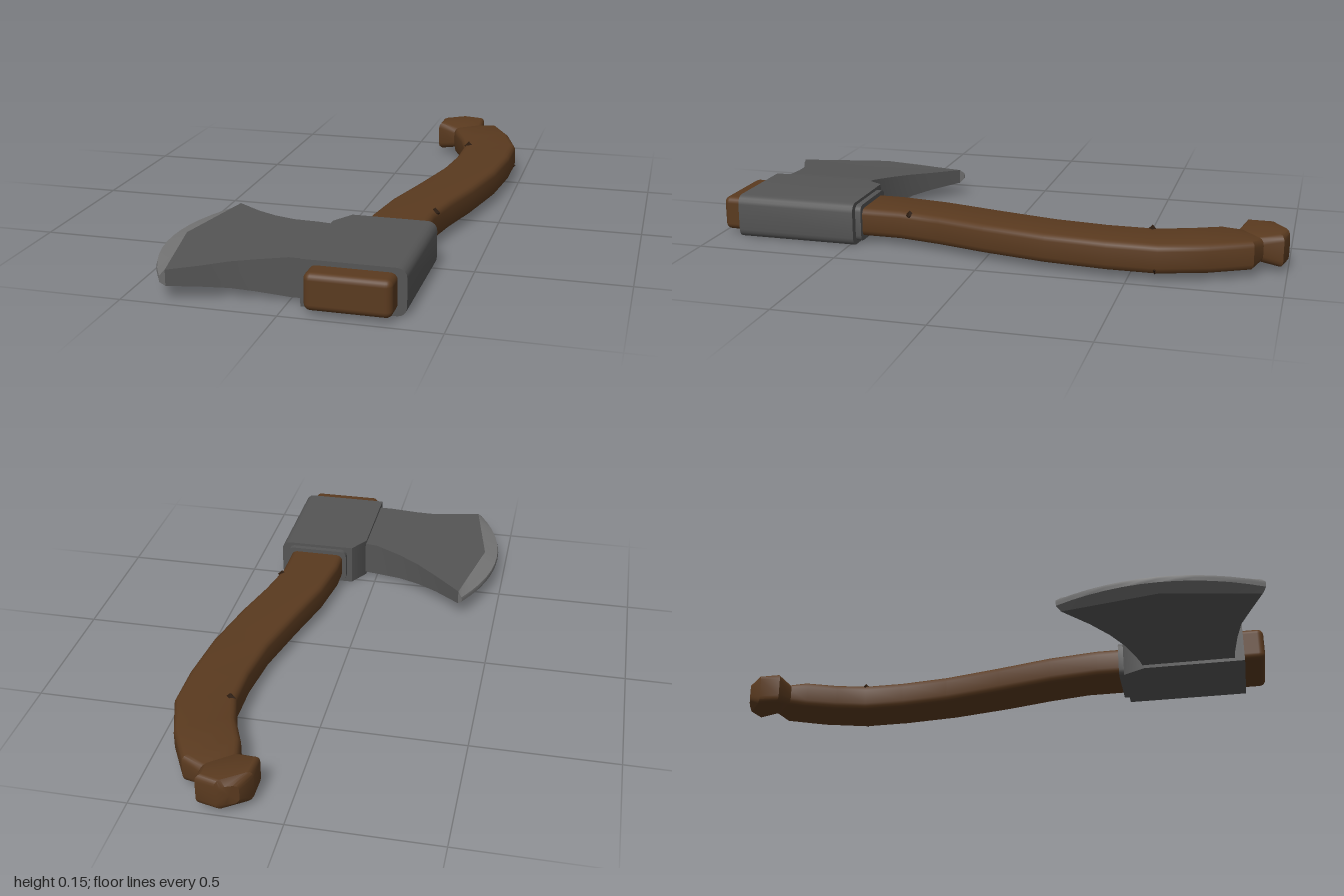
import * as THREE from 'three';
import { toCreasedNormals } from 'three/addons/utils/BufferGeometryUtils.js';
import { RoundedBoxGeometry } from 'three/addons/geometries/RoundedBoxGeometry.js';
import { ConvexGeometry } from 'three/addons/geometries/ConvexGeometry.js';

const MID = 0.08; // height of the symmetry plane
const mat = (color) => new THREE.MeshStandardMaterial({ color });
const wood = mat(0x5a3a1f), darkWood = mat(0x2c1b0e);
const iron = mat(0x555555), sharpIron = mat(0x747474);

// Skin a list of rings that each run counter-clockwise about the travel direction
function loft(rings, caps) {
  const m = rings[0].length, pos = [];
  const tri = (...pts) => pts.forEach((p) => pos.push(p.x, p.y, p.z));
  for (let i = 0; i < rings.length - 1; i++) {
    for (let j = 0; j < m; j++) {
      const k = (j + 1) % m;
      const a = rings[i][j], b = rings[i][k], c = rings[i + 1][k], d = rings[i + 1][j];
      tri(a, b, c);
      tri(a, c, d);
    }
  }
  if (caps) {
    [rings[0], rings[rings.length - 1]].forEach((ring, end) => {
      const mid = ring.reduce((s, p) => s.add(p), new THREE.Vector3()).divideScalar(m);
      ring.forEach((p, j) => {
        const q = ring[(j + 1) % m];
        end ? tri(mid, p, q) : tri(mid, q, p);
      });
    });
  }
  const g = new THREE.BufferGeometry();
  g.setAttribute('position', new THREE.Float32BufferAttribute(pos, 3));
  return toCreasedNormals(g, 0.6);
}

// Rounded rectangle, counter-clockwise, as [a, b] offsets
function roundedRect(hw, hh, r, steps = 3) {
  const pts = [];
  [[1, 1], [-1, 1], [-1, -1], [1, -1]].forEach(([sx, sy], q) => {
    for (let i = 0; i <= steps; i++) {
      const t = (q + i / steps) * Math.PI / 2;
      pts.push([sx * (hw - r) + r * Math.cos(t), sy * (hh - r) + r * Math.sin(t)]);
    }
  });
  return pts;
}

// Handle section between a left and a right edge point seen from above
function handleRing([lx, lz, rx, rz, hh]) {
  const hw = Math.hypot(rx - lx, rz - lz) / 2;
  return roundedRect(hw, hh, Math.min(0.022, hw * 0.6, hh * 0.6)).map(([a, b]) => {
    const t = (a / hw + 1) / 2;
    return new THREE.Vector3(lx + (rx - lx) * t, MID - b, lz + (rz - lz) * t);
  });
}

// Blade section: bottom row then top row, bulging towards the cutting edge
function bladeRing([x, z0, z1, h, bulge = 0, power = 2]) {
  const n = 12, row = [];
  for (let i = 0; i <= n; i++) {
    const t = i / n;
    const bx = x - bulge * (1 - Math.abs(2 * t - 1) ** power);
    row.push([bx, z0 + (z1 - z0) * t]);
  }
  return [
    ...row.map(([px, pz]) => new THREE.Vector3(px, MID - h, pz)),
    ...row.reverse().map(([px, pz]) => new THREE.Vector3(px, MID + h, pz)),
  ];
}

export function createModel() {
  const group = new THREE.Group();
  const add = (name, geometry, material) => {
    const mesh = new THREE.Mesh(geometry, material);
    mesh.name = name;
    group.add(mesh);
    return mesh;
  };

  // Curved handle: left x, z, right x, z, half height
  const shaft = [
    [0.125, 0.55, 0.33, 0.55, 0.05],
    [0.125, 0.38, 0.33, 0.32, 0.05],
    [0.15, 0.2, 0.36, 0.17, 0.05],
    [0.2, 0, 0.405, 0, 0.05],
    [0.25, -0.22, 0.45, -0.22, 0.05],
    [0.27, -0.4, 0.47, -0.43, 0.05],
    [0.27, -0.55, 0.47, -0.6, 0.05],
    [0.24, -0.66, 0.42, -0.76, 0.05],
    [0.195, -0.765, 0.35, -0.895, 0.05],
    [0.18, -0.835, 0.285, -0.92, 0.04],
  ];
  add('handle', loft(shaft.map(handleRing), true), wood);

  // Flared knob at the end of the handle
  const knob = [
    [0.18, -0.825, 0.285, -0.91, 0.04],
    [0.11, -0.848, 0.28, -0.985, 0.056],
    [0.11, -0.925, 0.215, -1.0, 0.056],
    [0.142, -0.978, 0.2, -1.0, 0.035],
  ];
  add('handleKnob', loft(knob.map(handleRing), true), wood);

  // Small dark nicks in the wood
  [[0.29, 0.125, -0.555], [0.325, 0.12, 0.285], [0.456, 0.046, -0.59]].forEach(([x, y, z]) => {
    add('woodNick', new THREE.OctahedronGeometry(0.018), darkWood).position.set(x, y, z);
  });

  // Handle end poking out of the head
  add('handleTop', new RoundedBoxGeometry(0.27, 0.12, 0.15, 3, 0.022), wood)
    .position.set(0.208, MID, 0.91);

  // Socket of the head: rounded on the poll side, chamfered behind the blade
  const socket = [];
  for (const s of [-1, 1]) {
    for (const [x, z] of [[0.045, 0.555], [0.09, 0.48], [0.045, 0.912]]) {
      socket.push(new THREE.Vector3(x, MID + s * 0.076, z));
    }
    for (let i = 0; i <= 4; i++) {
      const a = i * Math.PI / 8;
      for (const z of [0.48, 0.912]) {
        socket.push(new THREE.Vector3(0.342 + 0.03 * Math.sin(a), MID + s * (0.046 + 0.03 * Math.cos(a)), z));
      }
    }
  }
  add('headSocket', toCreasedNormals(new ConvexGeometry(socket), 0.6), iron);

  // Collar where the handle enters the head
  const collar = [0.5, 0.46].map((z) => handleRing([0.11, z, 0.345, z, 0.065]));
  add('headCollar', loft(collar, true), iron);

  // Blade body: x, back z, front z, half thickness, bulge, bulge power
  const bevel = [-0.358, 0.315, 0.978, 0.026, 0.065, 1];
  const body = [
    [0.07, 0.555, 0.878, 0.064],
    [0, 0.543, 0.878, 0.064],
    [-0.1, 0.505, 0.89, 0.052],
    [-0.18, 0.46, 0.905, 0.043],
    [-0.26, 0.4, 0.938, 0.034],
    bevel,
  ];
  add('blade', loft(body.map(bladeRing), false), iron);

  // Ground cutting edge
  const edge = [
    bevel,
    [-0.372, 0.3, 0.99, 0.01, 0.1],
    [-0.374, 0.3, 0.99, 0, 0.101],
  ];
  add('cuttingEdge', loft(edge.map(bladeRing), false), sharpIron);

  return group;
}
